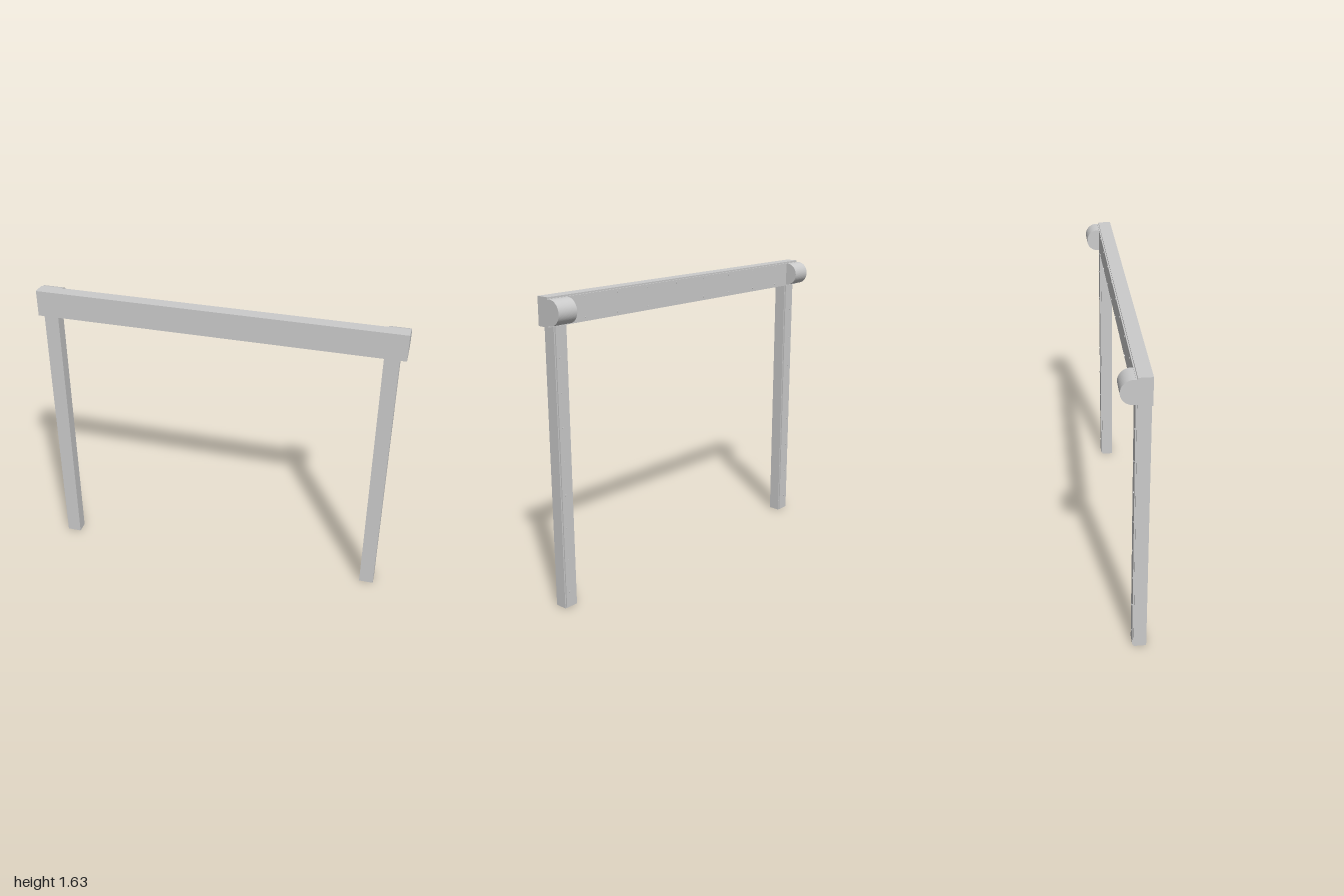
import * as THREE from 'three';

const material = new THREE.MeshStandardMaterial({ color: 0xcccccc });

// Box given by its limits on each axis
function box(name, [x0, x1], [y0, y1], [z0, z1]) {
  const mesh = new THREE.Mesh(new THREE.BoxGeometry(x1 - x0, y1 - y0, z1 - z0), material);
  mesh.position.set((x0 + x1) / 2, (y0 + y1) / 2, (z0 + z1) / 2);
  mesh.name = name;
  return mesh;
}

// Small screw head whose axis points along z
const screwGeometry = new THREE.CylinderGeometry(0.005, 0.005, 0.004, 12).rotateX(Math.PI / 2);
function screw(x, y, z) {
  const mesh = new THREE.Mesh(screwGeometry, material);
  mesh.position.set(x, y, z);
  mesh.name = 'screw';
  return mesh;
}

// D-shaped end cap behind the beam, extruded along x
function endCap(side) {
  const radius = 0.0635, straight = 0.0165;
  const profile = new THREE.Shape();
  profile.moveTo(0, -radius);
  profile.lineTo(straight, -radius);
  profile.absarc(straight, 0, radius, -Math.PI / 2, Math.PI / 2, false);
  profile.lineTo(0, radius);
  profile.closePath();
  const geometry = new THREE.ExtrudeGeometry(profile, { depth: 0.115, bevelEnabled: false, curveSegments: 24 });
  geometry.translate(0, 0, -0.0575).rotateY(Math.PI / 2);
  const mesh = new THREE.Mesh(geometry, material);
  mesh.position.set(side * 0.9425, 1.5625, 0.005);
  mesh.name = side > 0 ? 'leftEndCap' : 'rightEndCap';
  return mesh;
}

export function createModel() {
  const model = new THREE.Group();
  model.name = 'frame';

  // Top beam with its back plate
  const beam = new THREE.Group();
  beam.name = 'beam';
  beam.add(box('beamBody', [-1, 1], [1.49, 1.635], [0.004, 0.075]));
  beam.add(box('beamBackPlate', [-0.99, 0.99], [1.498, 1.627], [-0.003, 0.004]));
  for (let i = 0; i < 8; i++) {
    for (const y of [1.512, 1.613]) beam.add(screw(-0.77 + i * 0.22, y, -0.004));
  }
  model.add(beam);

  // Legs, back plates, screws and end caps, mirrored
  for (const side of [-1, 1]) {
    const leg = new THREE.Group();
    leg.name = side > 0 ? 'leftLeg' : 'rightLeg';
    const center = side * 0.925;
    leg.add(box('legBody', [center - 0.04, center + 0.04], [0, 1.49], [0.008, 0.075]));
    leg.add(box('legBackPlate', [center - 0.034, center + 0.034], [0.004, 1.49], [0.001, 0.008]));
    for (let i = 0; i < 8; i++) leg.add(screw(center + side * 0.012, 0.09 + i * 0.178, 0));
    model.add(leg, endCap(side));
  }
  return model;
}
